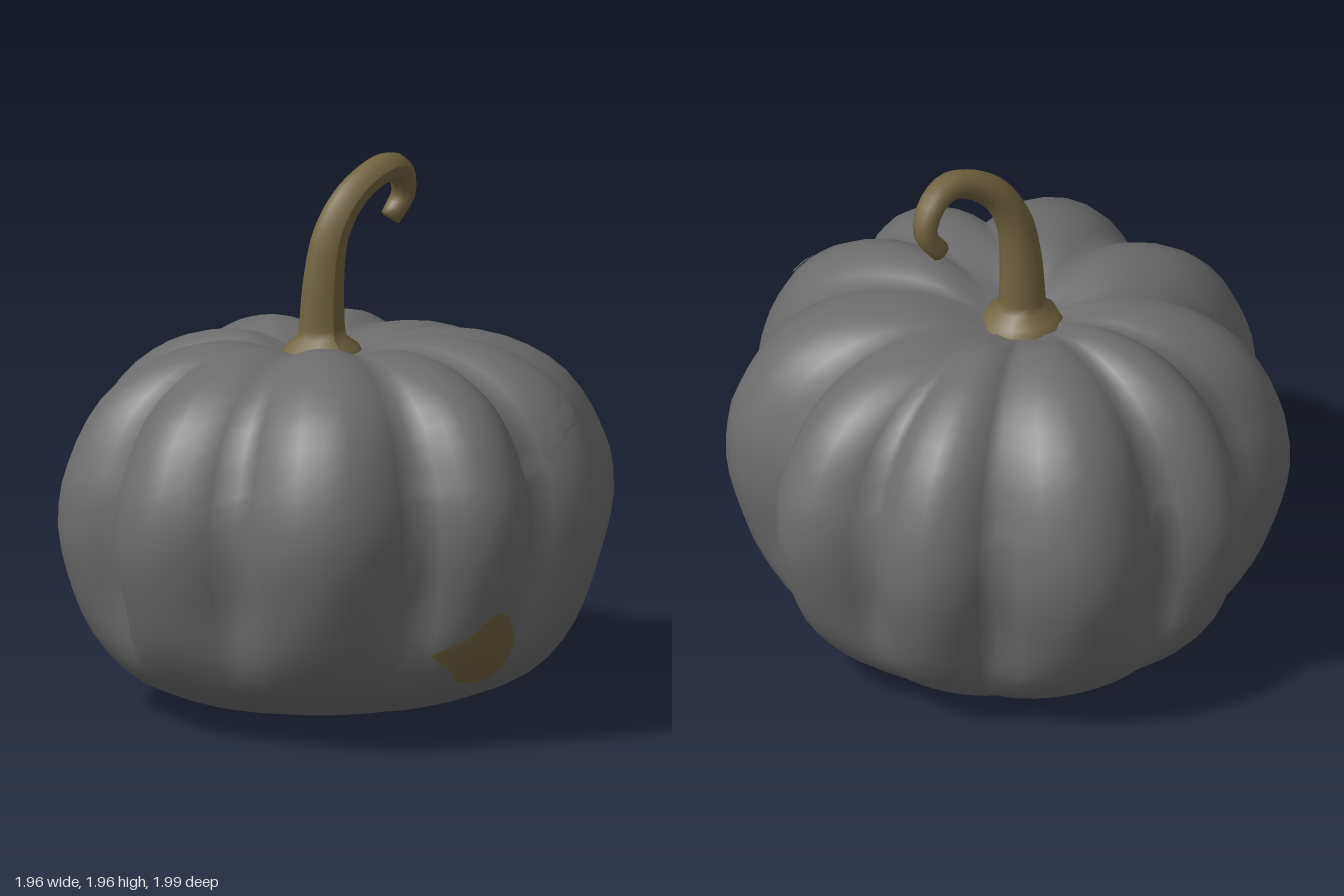
import * as THREE from 'three';

const rind = new THREE.MeshStandardMaterial({ color: 0x6c6c6c });
rind.name = 'grey rind';
const wood = new THREE.MeshStandardMaterial({ color: 0x71643f });
wood.name = 'brown stem';

// Each rib: angle of its starting crease (degrees, +x towards +z), crease radius,
// crest radius, drop of its shoulder near the stem
const RIBS = [
  [-5, 0.845, 1.0, 0.03], [33, 0.895, 0.99, 0], [68, 0.845, 1.005, 0.04], [101, 0.835, 1.0, 0],
  [147, 0.845, 1.01, 0.01], [187, 0.855, 1.02, 0.02], [219, 0.84, 1.0, 0.01], [248, 0.84, 1.0, 0],
  [291, 0.845, 0.985, 0], [323, 0.84, 1.005, 0.045],
];

// Crest profile from the bottom dimple to the stem hollow: radius, height
const PROFILE = [
  [0, 0.11], [0.06, 0.09], [0.13, 0.04], [0.3, 0.025], [0.5, 0.05], [0.71, 0.13], [0.855, 0.28],
  [0.95, 0.49], [0.997, 0.73], [0.955, 0.96], [0.835, 1.17], [0.65, 1.3], [0.46, 1.352],
  [0.31, 1.352], [0.19, 1.305], [0.1, 1.268], [0, 1.262],
];

function ribbedBody() {
  const curve = new THREE.CatmullRomCurve3(PROFILE.map(([r, y]) => new THREE.Vector3(r, y, 0)));
  const rows = 34, perRib = 8, cols = RIBS.length * perRib;
  const pos = [], idx = [];
  for (let i = 0; i <= rows; i++) {
    const p = curve.getPointAt(i / rows);
    const f = Math.max(0, p.x);
    // creases fade out towards the underside
    const depth = 0.15 + 0.85 * THREE.MathUtils.smoothstep(p.y, 0.1, 0.53);
    const top = p.y > 0.9 ? THREE.MathUtils.smoothstep(f, 0.1, 0.35) : 0;
    const shift = (1 - f) * p.y / 1.3;
    for (let j = 0; j < cols; j++) {
      const k = Math.floor(j / perRib), t = (j % perRib) / perRib;
      const [a0, crease, crest, drop] = RIBS[k];
      const [next, nextCrease] = RIBS[(k + 1) % RIBS.length];
      const a1 = next > a0 ? next : next + 360;
      const a = THREE.MathUtils.degToRad(a0 + (a1 - a0) * t);
      const hollow = 1 - Math.pow(Math.sin(Math.PI * t), 0.9);
      const low = crease + (nextCrease - crease) * t;
      const r = f * (crest - (crest - low) * hollow * depth);
      const x = r * Math.cos(a) - 0.04 * shift;
      const z = r * Math.sin(a) - 0.07 * shift;
      // shoulders sink at the creases; the whole fruit leans slightly backwards
      const sink = top * (0.04 * hollow + drop * (1 - hollow) * (1 - 0.5 * f));
      pos.push(x, p.y - sink + 0.07 * z, z);
      if (i < rows) {
        const q = i * cols + j, n = i * cols + (j + 1) % cols;
        idx.push(q, q + cols, n, n, q + cols, n + cols);
      }
    }
  }
  const g = new THREE.BufferGeometry();
  g.setAttribute('position', new THREE.Float32BufferAttribute(pos, 3));
  g.setIndex(idx);
  g.computeVertexNormals();
  return g;
}

// Curled stem: a tube whose rings are rescaled, flared at the foot and closed at the tip
function stemGeometry() {
  const path = new THREE.CatmullRomCurve3([
    [-0.04, 1.27, -0.07], [-0.04, 1.4, -0.07], [-0.035, 1.55, -0.065], [-0.01, 1.7, -0.06],
    [0.06, 1.82, -0.06], [0.16, 1.89, -0.075], [0.25, 1.91, -0.1], [0.33, 1.87, -0.15],
    [0.36, 1.785, -0.18], [0.305, 1.7, -0.18],
  ].map(p => new THREE.Vector3(...p)));
  const segs = 36, sides = 10;
  const g = new THREE.TubeGeometry(path, segs, 1, sides, false);
  const radii = [[0, 0.15], [0.03, 0.13], [0.06, 0.085], [0.35, 0.069], [0.6, 0.056], [0.85, 0.049], [1, 0.038]];
  const radiusAt = u => {
    const k = Math.max(1, radii.findIndex(r => r[0] >= u));
    const [u0, r0] = radii[k - 1], [u1, r1] = radii[k];
    return r0 + (r1 - r0) * (u - u0) / (u1 - u0);
  };
  const P = g.attributes.position, N = g.attributes.normal, v = new THREE.Vector3();
  for (let i = 0; i < P.count; i++) {
    const ring = Math.floor(i / (sides + 1));
    const u = Math.min(1, ring / (segs - 1));
    const r = ring === segs ? 0 : radiusAt(u);
    v.fromBufferAttribute(N, i).multiplyScalar(r).add(path.getPointAt(u));
    P.setXYZ(i, v.x, v.y, v.z);
  }
  g.computeVertexNormals();
  return g;
}

// Thin patch: an outline in x, y laid on the front of the body
function patch(body, outline, lift) {
  const n = outline.length, rings = 8;
  const cx = outline.reduce((s, p) => s + p[0], 0) / n;
  const cy = outline.reduce((s, p) => s + p[1], 0) / n;
  const ray = new THREE.Raycaster(), back = new THREE.Vector3(0, 0, -1);
  const pos = [], idx = [];
  for (let i = 0; i <= rings; i++) {
    for (let j = 0; j < n; j++) {
      const x = cx + (outline[j][0] - cx) * i / rings;
      const y = cy + (outline[j][1] - cy) * i / rings;
      ray.set(new THREE.Vector3(x, y, 3), back);
      const hit = ray.intersectObject(body)[0];
      const p = hit.point.addScaledVector(hit.face.normal, lift);
      pos.push(p.x, p.y, p.z);
      if (i < rings) {
        const a = i * n + j, b = i * n + (j + 1) % n;
        idx.push(a, a + n, b, b, a + n, b + n);
      }
    }
  }
  const g = new THREE.BufferGeometry();
  g.setAttribute('position', new THREE.Float32BufferAttribute(pos, 3));
  g.setIndex(idx);
  g.computeVertexNormals();
  return g;
}

export function createModel() {
  const model = new THREE.Group();
  const add = (name, geometry, material) => {
    const mesh = new THREE.Mesh(geometry, material);
    mesh.name = name;
    model.add(mesh);
    return mesh;
  };
  const body = add('body', ribbedBody(), rind);
  add('stem', stemGeometry(), wood);

  // brown blemish low on the front rib
  add('frontBlemish', patch(body, [
    [-0.11, 0.36], [-0.04, 0.31], [0.01, 0.25], [0.08, 0.23], [0.16, 0.24], [0.21, 0.28], [0.24, 0.36],
    [0.2, 0.43], [0.15, 0.5], [0.11, 0.52], [0.05, 0.49], [0, 0.43],
  ], 0.006), wood);

  // small scar high on the left front rib
  add('scar', patch(body, [
    [0.37, 1.05], [0.385, 1.005], [0.43, 1.0], [0.465, 1.04], [0.49, 1.09], [0.55, 1.1], [0.575, 1.15],
    [0.54, 1.205], [0.48, 1.19], [0.455, 1.14], [0.4, 1.12],
  ], 0.008), rind);
  return model;
}
